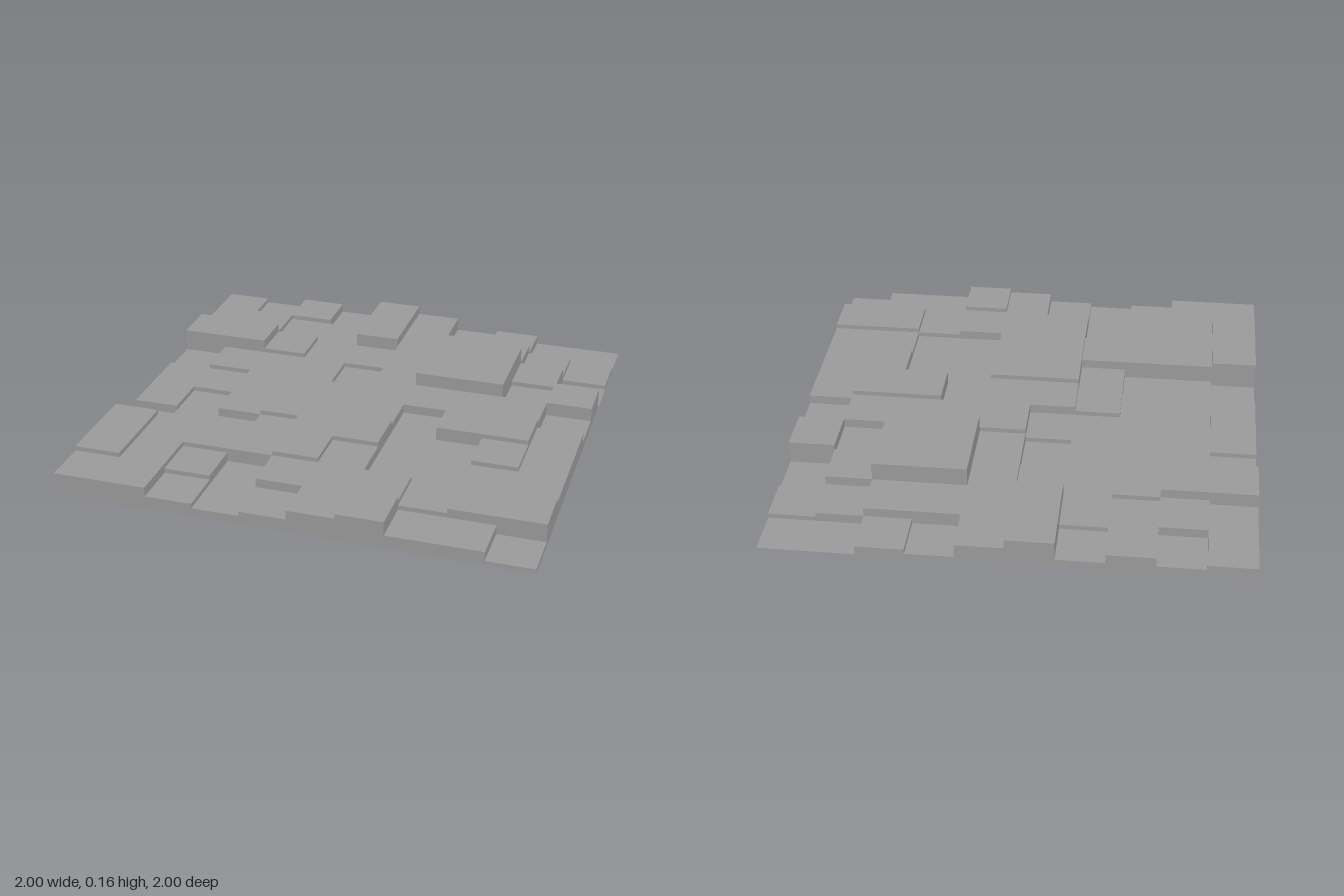
import * as THREE from 'three';
import { mergeGeometries } from 'three/addons/utils/BufferGeometryUtils.js';

// Terrace heights in steps of 0.02; rows run from back to front, columns from -x to +x
const STEP = 0.02, CELL = 0.2, N = 10;
const ROWS = [
  '3242641200',
  '3433644421',
  '6643348840',
  '1333248835',
  '2233355552',
  '2134553664',
  '0113663354',
  '6555653344',
  '6542555455',
  '5532356331',
];

// Height of a cell; everything outside the tile is ground
const heightAt = (r, c) =>
  r < 0 || c < 0 || r >= N || c >= N ? 0 : Number(ROWS[r][c]) * STEP;

// Vertical panel centred on (x, z), turned about y, from y = low to y = high
function panel(x, z, low, high, turn) {
  const g = new THREE.PlaneGeometry(CELL, high - low);
  g.rotateY(turn);
  g.translate(x, (low + high) / 2, z);
  return g;
}

export function createModel() {
  const group = new THREE.Group();
  group.name = 'terracedTile';
  const material = new THREE.MeshStandardMaterial({
    color: 0x999999, flatShading: true, side: THREE.DoubleSide,
  });
  const tops = [], steps = [], rim = [];
  const sides = [[0, 1, Math.PI / 2], [0, -1, -Math.PI / 2], [1, 0, 0], [-1, 0, Math.PI]];

  for (let r = 0; r < N; r++) {
    for (let c = 0; c < N; c++) {
      const x = -1 + (c + 0.5) * CELL, z = -1 + (r + 0.5) * CELL, h = heightAt(r, c);
      const top = new THREE.PlaneGeometry(CELL, CELL);
      top.rotateX(-Math.PI / 2);
      top.translate(x, h, z);
      tops.push(top);

      // Walls down to each lower neighbour, or to the ground at the border
      for (const [dr, dc, turn] of sides) {
        const low = heightAt(r + dr, c + dc);
        if (h <= low) continue;
        const outside = r + dr < 0 || c + dc < 0 || r + dr >= N || c + dc >= N;
        (outside ? rim : steps).push(
          panel(x + dc * CELL / 2, z + dr * CELL / 2, low, h, turn));
      }
    }
  }

  // Open-bottomed shell: terrace tops, step walls and outer rim
  for (const [name, parts] of Object.entries({ terraceTops: tops, stepWalls: steps, outerRim: rim })) {
    const mesh = new THREE.Mesh(mergeGeometries(parts), material);
    mesh.name = name;
    group.add(mesh);
  }
  return group;
}
